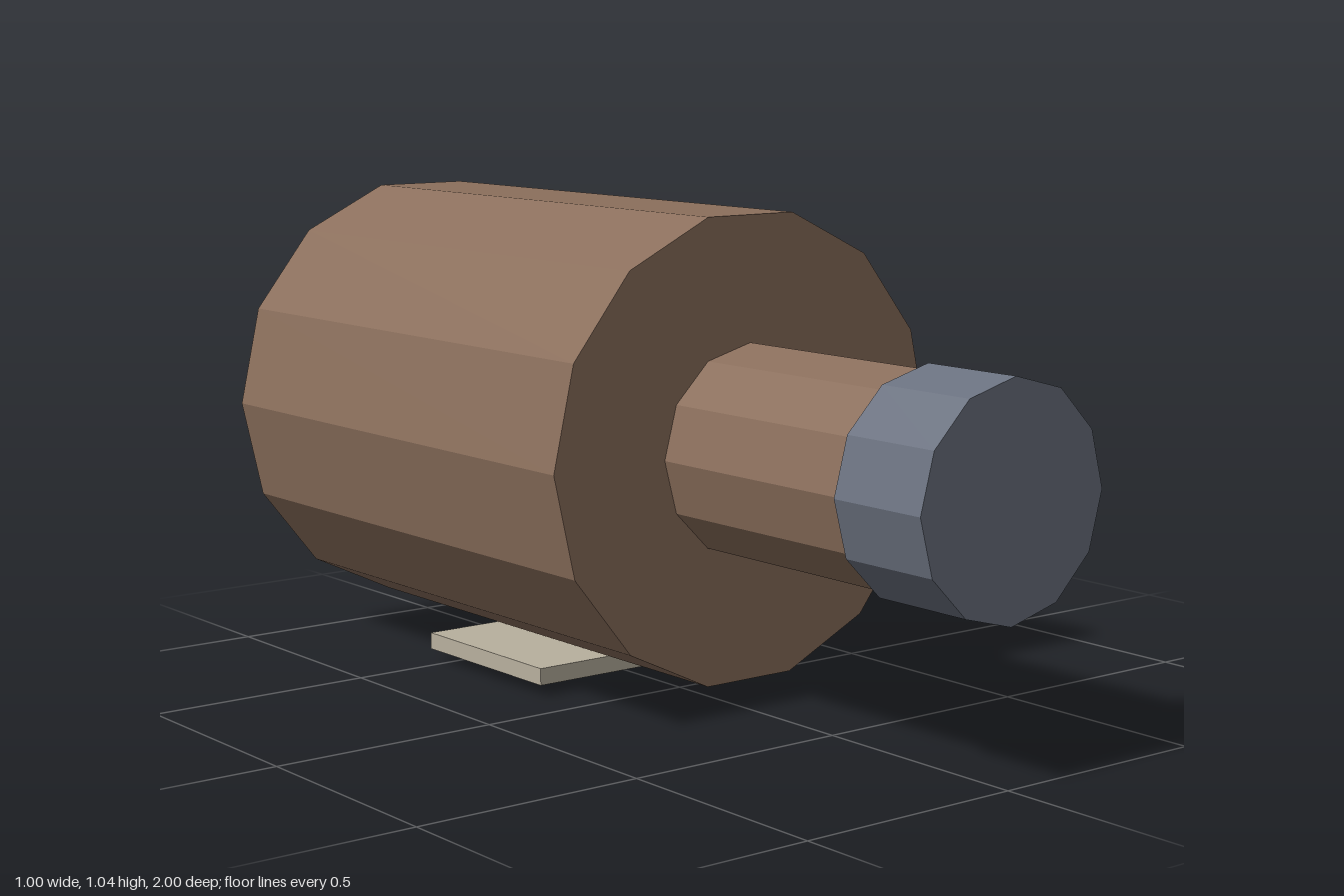
import * as THREE from 'three';

export function createModel() {
  const group = new THREE.Group();
  const material = (name, color) => {
    const m = new THREE.MeshStandardMaterial({ color, flatShading: true });
    m.name = name;
    return m;
  };
  const brown = material('brown', 0x8b6f5c);
  const slate = material('slate grey', 0x6b7280);
  const stone = material('pale stone', 0xb8b09e);

  const AXIS_Y = 0.553;
  const PLATE_Z = -0.333;

  const add = (name, geometry, mat, y, z) => {
    const mesh = new THREE.Mesh(geometry, mat);
    mesh.name = name;
    mesh.position.set(0, y, z);
    group.add(mesh);
  };

  // Faceted cylinder along z, with corners on the left and right
  const drum = (name, radius, sides, back, front, mat) => {
    const geometry = new THREE.CylinderGeometry(radius, radius, front - back, sides, 1, false, Math.PI / 2);
    geometry.rotateX(Math.PI / 2);
    add(name, geometry, mat, AXIS_Y, (back + front) / 2);
  };

  drum('body', 0.5, 14, -1, 0.235, brown);
  drum('neck', 0.224, 12, 0.235, 0.765, brown);
  drum('cap', 0.237, 12, 0.765, 1, slate);

  // Mounting plate and its small foot beneath the body
  add('mountingPlate', new THREE.BoxGeometry(0.57, 0.037, 0.428), stone, 0.0435, PLATE_Z);
  add('plateFoot', new THREE.BoxGeometry(0.284, 0.025, 0.086), brown, 0.0125, PLATE_Z);

  return group;
}
